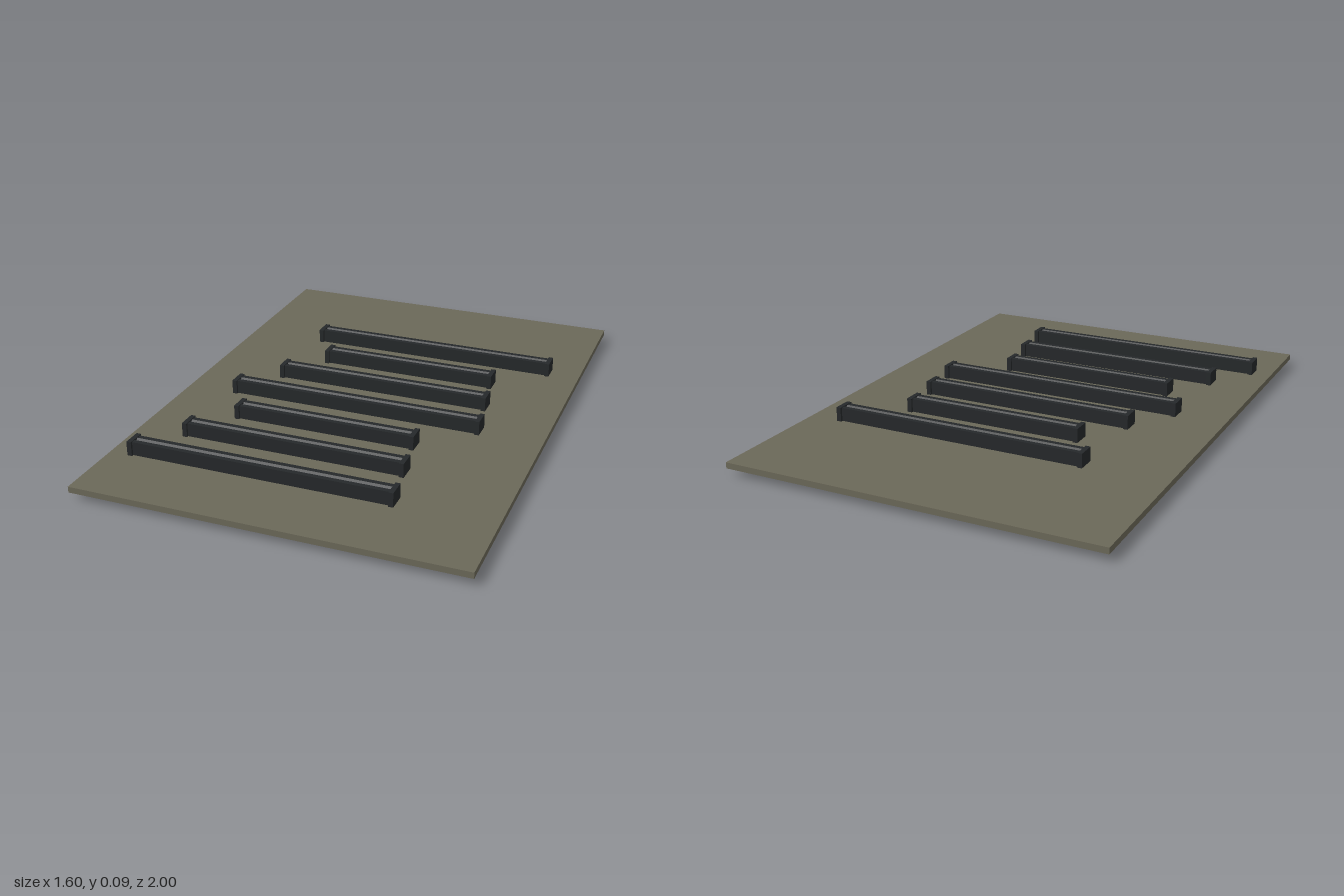
import * as THREE from 'three';

const plateMat = new THREE.MeshStandardMaterial({ color: 0x6b6858 });
plateMat.name = 'olive grey';
const barMat = new THREE.MeshStandardMaterial({ color: 0x25282a });
barMat.name = 'charcoal';

const HEIGHT = 0.094;

function box(name, w, h, d, mat, x, y) {
  const mesh = new THREE.Mesh(new THREE.BoxGeometry(w, h, d), mat);
  mesh.name = name;
  mesh.position.set(x, y, 0);
  return mesh;
}

// Bar with a shallow groove along its top and bottom, capped by wider end plates
function makeBar(length) {
  const bar = new THREE.Group();
  bar.name = 'bar';
  const cap = 0.016, w = 0.024, g = 0.008;
  const section = new THREE.Shape([
    [-w, 0.002], [-g, 0.002], [0, 0.01], [g, 0.002], [w, 0.002],
    [w, HEIGHT - 0.002], [g, HEIGHT - 0.002], [0, HEIGHT - 0.01], [-g, HEIGHT - 0.002], [-w, HEIGHT - 0.002],
  ].map(([x, y]) => new THREE.Vector2(x, y)));
  const span = length - 2 * cap;
  const geo = new THREE.ExtrudeGeometry(section, { depth: span, bevelEnabled: false });
  geo.translate(0, 0, -span / 2).rotateY(Math.PI / 2);
  const body = new THREE.Mesh(geo, barMat);
  body.name = 'barBody';
  bar.add(body);
  for (const s of [-1, 1]) {
    bar.add(box('barEndPlate', cap, HEIGHT, 0.063, barMat, s * (length - cap) / 2, HEIGHT / 2));
  }
  return bar;
}

export function createModel() {
  const model = new THREE.Group();
  model.name = 'slottedPlate';
  const turn = 0.199;

  // Flat base plate, turned slightly about the vertical
  const plate = box('plate', 1.27, 0.02, 1.78, plateMat, 0, 0.036);
  plate.rotation.y = turn;
  model.add(plate);

  // Seven parallel bars passing through the plate
  const lengths = [0.89, 0.63, 0.76, 0.89, 0.63, 0.76, 0.89];
  lengths.forEach((length, i) => {
    const bar = makeBar(length);
    bar.rotation.y = turn;
    bar.position.z = -0.432 + i * 0.178;
    model.add(bar);
  });
  return model;
}
